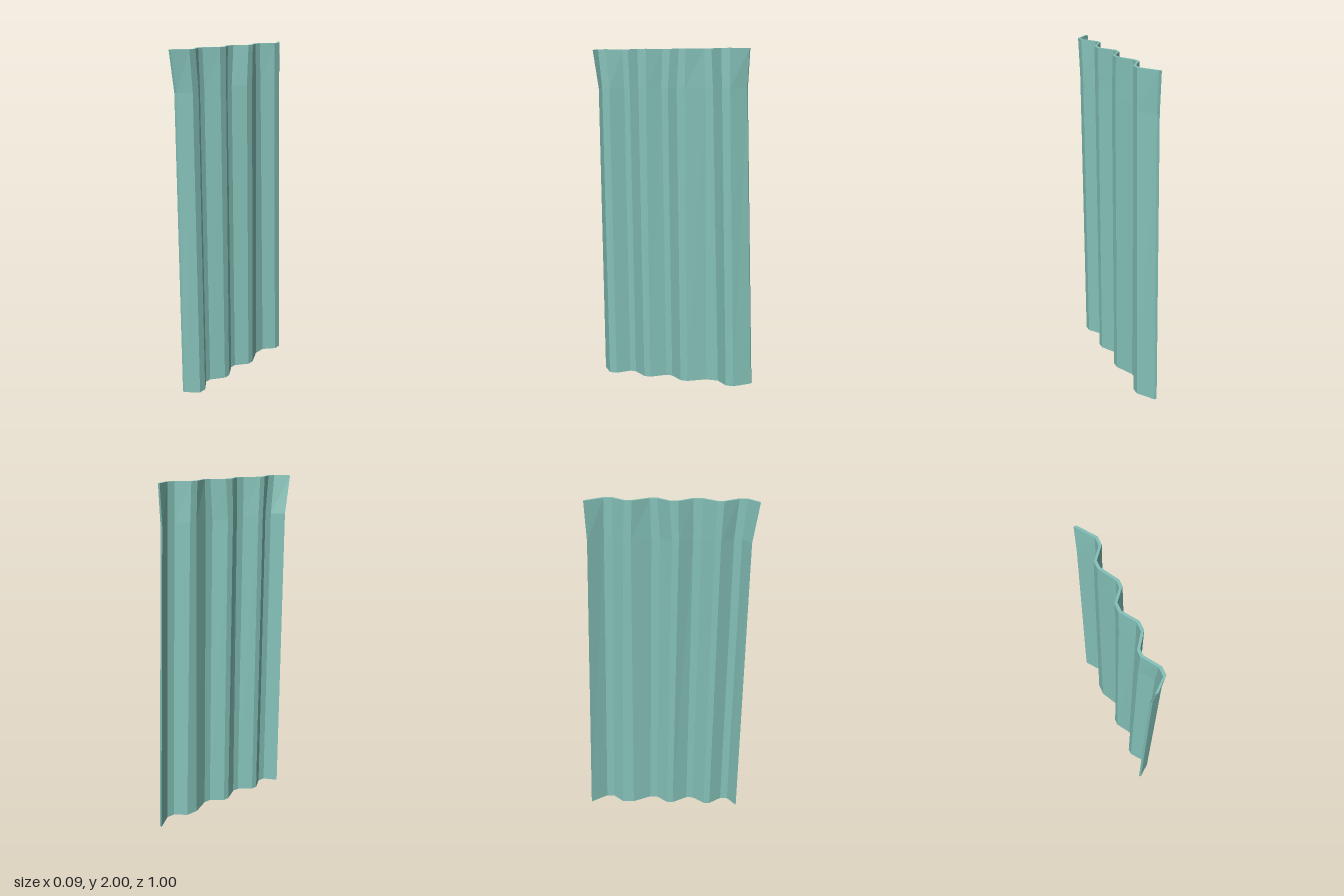
import * as THREE from 'three';

const THICKNESS = 0.0165;

// Ridge and valley offsets of the front (+x) face, running from +z to -z
const CREST = 0.043, VALLEY = -0.013, EDGE = -0.028;
const depths = [EDGE, CREST, CREST, VALLEY, VALLEY, CREST, CREST, VALLEY, VALLEY,
  CREST, CREST, VALLEY, VALLEY, CREST, CREST, EDGE];

// Fold positions along z at the foot, the bend and the top
const rows = [
  { y: 0, z: [0.45, 0.395, 0.35, 0.277, 0.24, 0.165, 0.125, 0.037, 0, -0.07, -0.113, -0.22, -0.293, -0.355, -0.402, -0.497] },
  { y: 1.775, z: [0.465, 0.415, 0.37, 0.297, 0.262, 0.19, 0.143, 0.065, 0.027, -0.042, -0.09, -0.2, -0.243, -0.308, -0.355, -0.44] },
  { y: 2, z: [0.5, 0.437, 0.39, 0.307, 0.272, 0.193, 0.142, 0.06, 0.012, -0.055, -0.095, -0.19, -0.232, -0.302, -0.35, -0.45] },
];

function corrugatedGeometry() {
  const positions = [];
  const front = (r, i) => [depths[i], rows[r].y, rows[r].z[i]];
  const back = (r, i) => [depths[i] - THICKNESS, rows[r].y, rows[r].z[i]];
  const quad = (a, b, c, d) => positions.push(...a, ...b, ...c, ...a, ...c, ...d);
  const last = depths.length - 1, top = rows.length - 1;

  for (let i = 0; i < last; i++) {
    // Front and back faces
    for (let r = 0; r < top; r++) {
      quad(front(r, i), front(r, i + 1), front(r + 1, i + 1), front(r + 1, i));
      quad(back(r, i + 1), back(r, i), back(r + 1, i), back(r + 1, i + 1));
    }
    // Top and bottom rims
    quad(front(top, i), front(top, i + 1), back(top, i + 1), back(top, i));
    quad(back(0, i), back(0, i + 1), front(0, i + 1), front(0, i));
  }
  // Side rims
  for (let r = 0; r < top; r++) {
    quad(back(r, 0), front(r, 0), front(r + 1, 0), back(r + 1, 0));
    quad(front(r, last), back(r, last), back(r + 1, last), front(r + 1, last));
  }

  const geometry = new THREE.BufferGeometry();
  geometry.setAttribute('position', new THREE.Float32BufferAttribute(positions, 3));
  geometry.computeVertexNormals(); // unshared corners give flat facets
  return geometry;
}

export function createModel() {
  const group = new THREE.Group();
  group.name = 'corrugatedPanel';
  const paint = new THREE.MeshStandardMaterial({ color: 0x84c1b8 });
  paint.name = 'pale teal metal';
  const sheet = new THREE.Mesh(corrugatedGeometry(), paint);
  sheet.name = 'corrugatedSheet';
  group.add(sheet);
  return group;
}
